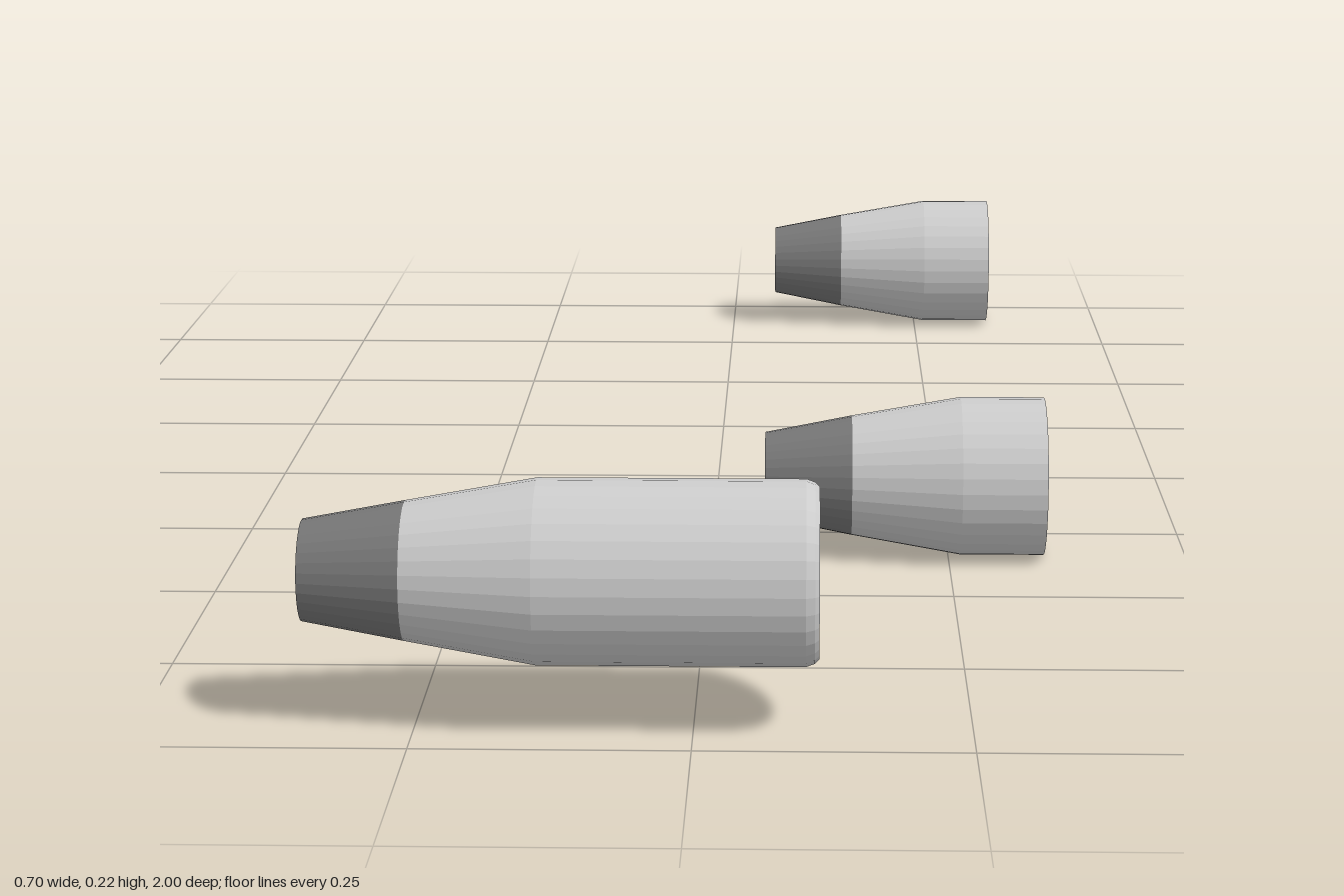
import * as THREE from 'three';

const SIDES = 32;
const mat = (color) => new THREE.MeshStandardMaterial({ color, flatShading: true, side: THREE.DoubleSide });
const shellMat = mat(0xcccccc);
const nozzleMat = mat(0x777777);
const bladeMat = mat(0x1c1c1c);

// Surface of revolution about x; points are [x, radius]
function lathe(name, points, material) {
  const geo = new THREE.LatheGeometry(points.map(([x, r]) => new THREE.Vector2(r, x)), SIDES);
  geo.rotateZ(-Math.PI / 2);
  const mesh = new THREE.Mesh(geo, material);
  mesh.name = name;
  return mesh;
}

// Ring of pointed, pitched fan blades around a small spinner
function fan(x, radius, count) {
  const group = new THREE.Group();
  group.name = 'intakeFan';
  for (let i = 0; i < count; i++) {
    const geo = new THREE.ConeGeometry(0.009, radius - 0.008, 4);
    geo.scale(0.35, 1, 1);
    geo.rotateY(0.3);
    geo.translate(0, (radius + 0.008) / 2, 0);
    geo.rotateX((i / count) * Math.PI * 2);
    geo.translate(x, 0, 0);
    const blade = new THREE.Mesh(geo, bladeMat);
    blade.name = 'fanBlade';
    group.add(blade);
  }
  group.add(lathe('spinner', [[x - 0.01, 0.02], [x + 0.005, 0.016], [x + 0.015, 0]], bladeMat));
  return group;
}

// Tapered exhaust with a recessed end, starting at x = 0
function nozzle(joinX, joinR, endR) {
  return lathe('exhaustNozzle', [[0.03, 0], [0.03, endR - 0.001], [0, endR - 0.003], [0, endR], [joinX, joinR]], nozzleMat);
}

// Long engine with a bevelled lip and a fan
function longEngine() {
  const g = new THREE.Group();
  g.name = 'longEngine';
  g.add(nozzle(0.092, 0.063, 0.046));
  g.add(lathe('cowling', [
    [0.092, 0.063], [0.21, 0.084], [0.45, 0.084], [0.458, 0.081], [0.462, 0.077],
    [0.458, 0.073], [0.40, 0.073], [0.40, 0],
  ], shellMat));
  g.add(fan(0.425, 0.072, 24));
  return g;
}

// Short engine section with an open, recessed front
function shortEngine() {
  const g = new THREE.Group();
  g.name = 'shortEngine';
  g.add(nozzle(0.091, 0.063, 0.045));
  g.add(lathe('cowling', [
    [0.091, 0.063], [0.205, 0.083], [0.293, 0.083], [0.293, 0.075], [0.235, 0.075], [0.235, 0],
  ], shellMat));
  return g;
}

export function createModel() {
  const model = new THREE.Group();
  model.name = 'engineSet';
  const long = longEngine();
  long.position.set(-0.35, 0.14, 0.916);
  model.add(long);
  for (const z of [0.327, -0.917]) {
    const short = shortEngine();
    short.position.set(0.057, 0.084, z);
    model.add(short);
  }
  return model;
}
